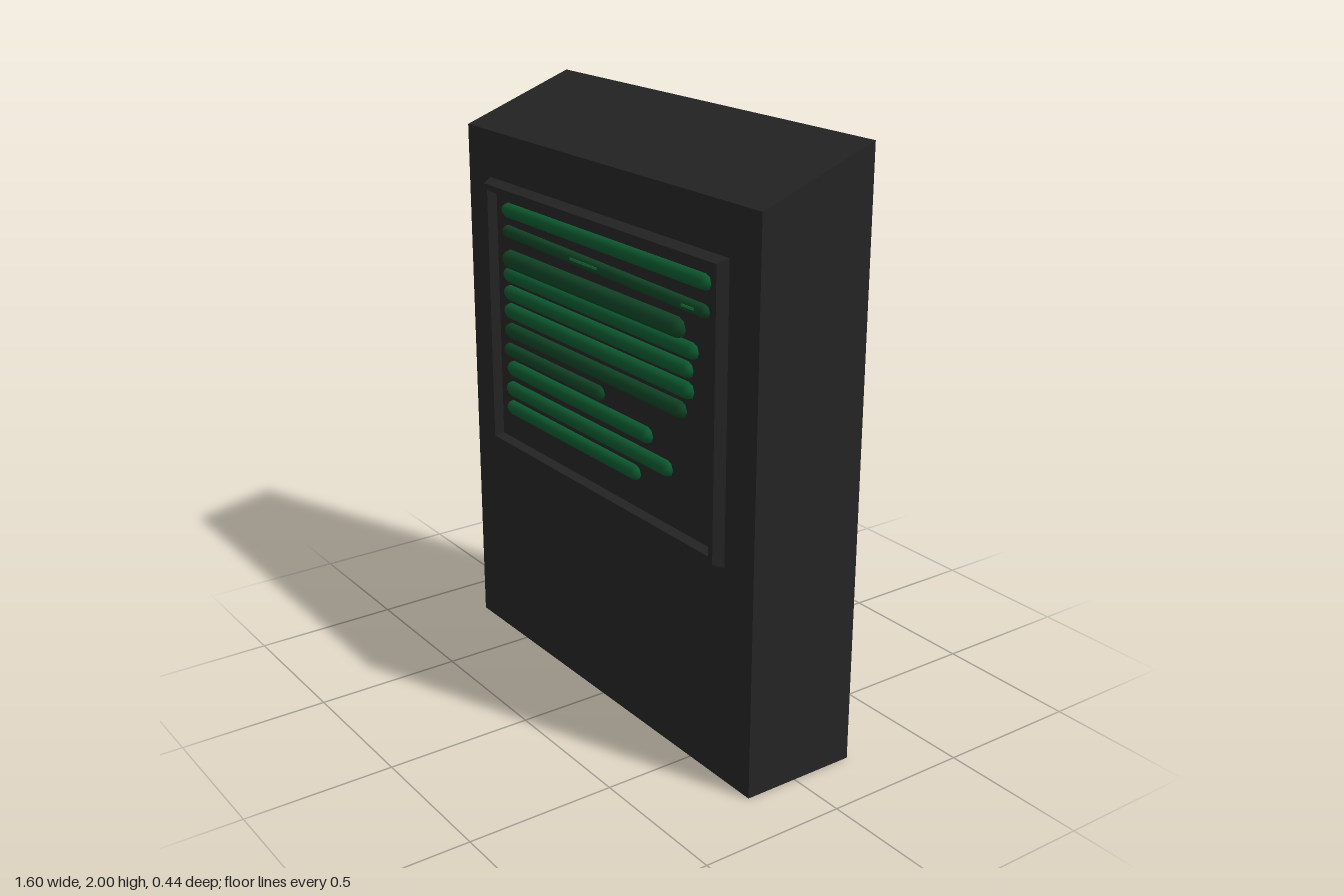
import * as THREE from 'three';

const mat = (name, color) => {
  const m = new THREE.MeshStandardMaterial({ color });
  m.name = name;
  return m;
};

// Frame made of rectangular loops [half width, half height, z], from outside to inside
function loopFrame(loops) {
  const corners = loops.map(([w, h, z]) => [[-w, -h, z], [w, -h, z], [w, h, z], [-w, h, z]]);
  const pos = [];
  for (let k = 0; k < loops.length - 1; k++) {
    for (let i = 0; i < 4; i++) {
      const j = (i + 1) % 4;
      const a = corners[k][i], b = corners[k][j], c = corners[k + 1][j], d = corners[k + 1][i];
      pos.push(...a, ...b, ...c, ...a, ...c, ...d);
    }
  }
  const g = new THREE.BufferGeometry();
  g.setAttribute('position', new THREE.Float32BufferAttribute(pos, 3));
  g.computeVertexNormals();
  return g;
}

export function createModel() {
  const model = new THREE.Group();
  model.name = 'terminal';
  const casing = mat('charcoal casing', 0x242424);
  const brightGreen = mat('bright green', 0x0c5a30);
  const dimGreen = mat('dim green', 0x104526);
  const glowGreen = mat('glow green', 0x147a3c);

  const add = (name, geometry, material, parent = model) => {
    const mesh = new THREE.Mesh(geometry, material);
    mesh.name = name;
    parent.add(mesh);
    return mesh;
  };

  // Cabinet: side profile with sloping top, extruded across the width
  const front = 0.185, back = -0.22;
  const profile = new THREE.Shape([
    new THREE.Vector2(back, 0), new THREE.Vector2(front, 0),
    new THREE.Vector2(front, 1.85), new THREE.Vector2(back, 2),
  ]);
  const body = new THREE.ExtrudeGeometry(profile, { depth: 1.6, bevelEnabled: false });
  body.translate(0, 0, -0.8).rotateY(-Math.PI / 2);
  add('cabinet', body, casing);

  // Raised screen bezel with sloping outer edge
  const screenY = 1.21;
  const bezel = loopFrame([
    [0.66, 0.48, front], [0.645, 0.465, 0.22], [0.625, 0.445, 0.22], [0.618, 0.438, front],
  ]);
  add('screenBezel', bezel, casing).position.y = screenY;

  // Screen panel
  add('screen', new THREE.BoxGeometry(1.236, 0.876, 0.004), casing).position.set(0, screenY, front);

  // Rows of glowing bars: [left, right, y, radius, material, tilt]
  const rows = [
    [-0.57, 0.58, 1.597, 0.026, brightGreen, 0],
    [-0.57, 0.575, 1.516, 0.022, dimGreen, -0.014],
    [-0.57, 0.46, 1.428, 0.034, dimGreen, 0],
    [-0.57, 0.525, 1.373, 0.027, brightGreen, 0],
    [-0.57, 0.5, 1.309, 0.027, brightGreen, 0],
    [-0.57, 0.505, 1.244, 0.028, brightGreen, 0],
    [-0.57, 0.47, 1.173, 0.028, dimGreen, 0],
    [-0.58, 0.03, 1.1, 0.025, dimGreen, 0],
    [-0.56, 0.295, 1.037, 0.028, brightGreen, 0],
    [-0.57, 0.4, 0.96, 0.027, brightGreen, 0],
    [-0.57, 0.23, 0.89, 0.026, brightGreen, 0],
  ];
  const bars = new THREE.Group();
  bars.name = 'screenRows';
  model.add(bars);
  rows.forEach(([left, right, y, r, material, tilt], i) => {
    const bar = new THREE.CapsuleGeometry(r, right - left - 2 * r, 2, 10);
    bar.rotateZ(Math.PI / 2).scale(1, 1, 0.85);
    const mesh = add('screenRow' + (i + 1), bar, material, bars);
    mesh.position.set((left + right) / 2, y, 0.187);
    mesh.rotation.z = tilt;
  });

  // Bright flecks on the second row
  for (const [x, y, w] of [[-0.06, 1.519, 0.15], [0.49, 1.51, 0.06]]) {
    add('screenFleck', new THREE.BoxGeometry(w, 0.008, 0.006), glowGreen, bars).position.set(x, y, 0.204);
  }
  return model;
}
